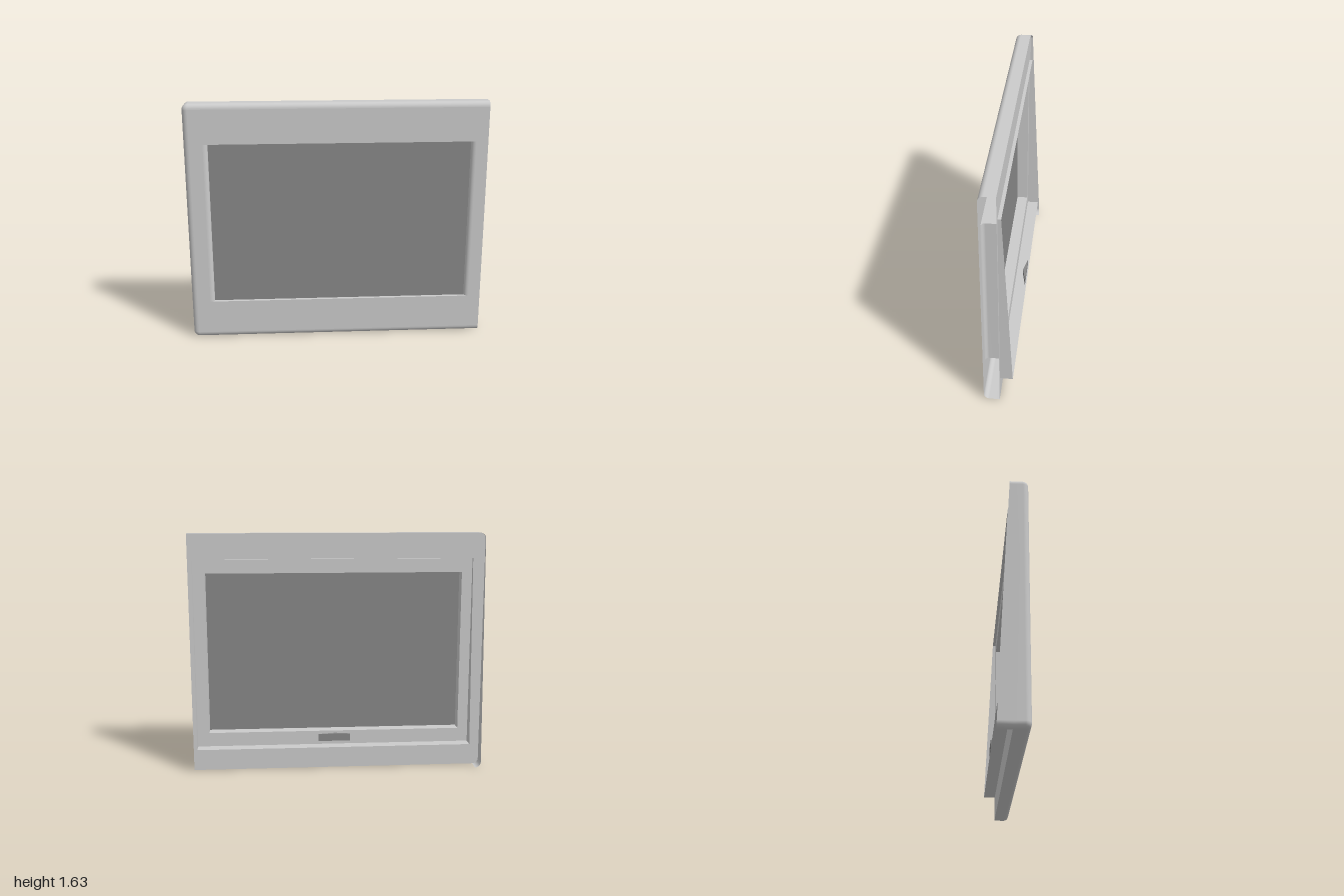
import * as THREE from 'three';

const TOP = 1.63, BACK = -0.007, FRONT = 0.096, R = 0.04, INSET = 0.036, ROUND = 0.035;
const HOLE = { x0: -0.845, x1: 0.89, y0: 0.265, y1: 1.365 };
const LIP = 0.03, LIP_DEPTH = 0.024; // rounded lips beside the opening
const SCREEN = FRONT - LIP_DEPTH;

const grey = new THREE.MeshStandardMaterial({ color: 0xcccccc, side: THREE.DoubleSide });
const dark = new THREE.MeshStandardMaterial({ color: 0x888888, side: THREE.DoubleSide });

// Sloping rear edge shared by the rim and the side flange
const slopeZ = (y) => THREE.MathUtils.lerp(-0.097, -0.02, y / TOP);

// Surface through rows of [x, y, z] points
function loft(rows) {
  const n = rows[0].length, index = [];
  for (let i = 0; i < rows.length - 1; i++) {
    for (let j = 0; j < n - 1; j++) {
      const a = i * n + j, b = a + n;
      index.push(a, a + 1, b, b, a + 1, b + 1);
    }
  }
  const g = new THREE.BufferGeometry();
  g.setAttribute('position', new THREE.Float32BufferAttribute(rows.flat(2), 3));
  g.setIndex(index);
  g.computeVertexNormals();
  return g;
}

// Corner points of the rounded end, from the upper corner to the lower one
function endCurve(inset) {
  const pts = [], r = R - inset;
  for (const [cy, start] of [[TOP - R, Math.PI / 2], [R, Math.PI]]) {
    for (let i = 0; i <= 8; i++) {
      const a = start + (i / 8) * (Math.PI / 2);
      pts.push([-1 + R + r * Math.cos(a), cy + r * Math.sin(a)]);
    }
  }
  return pts;
}

// U-shaped outline: rounded at -x, running straight to the open end at +x
const outline = (inset) => [[1, TOP - inset], ...endCurve(inset), [1, inset]];

// Flat sheet from an outline with a rectangular hole
function sheet(points, x0, x1) {
  const shape = new THREE.Shape(points.map(([x, y]) => new THREE.Vector2(x, y)));
  const { y0, y1 } = HOLE;
  shape.holes.push(new THREE.Path([[x0, y0], [x0, y1], [x1, y1], [x1, y0]]
    .map(([x, y]) => new THREE.Vector2(x, y))));
  return new THREE.ShapeGeometry(shape);
}

export function createModel() {
  const model = new THREE.Group();
  const add = (name, geometry, material = grey, z = 0) => {
    const mesh = new THREE.Mesh(geometry, material);
    mesh.name = name;
    mesh.position.z = z;
    model.add(mesh);
    return mesh;
  };

  // Outer wall, straight at the back and rounded over at the front
  const at = (inset, z) => outline(inset).map(([x, y]) => [x, y, z]);
  const wall = [at(0, BACK)];
  for (let i = 0; i <= 8; i++) {
    const a = (i / 8) * (Math.PI / 2);
    wall.push(at(INSET * (1 - Math.cos(a)), FRONT - ROUND + ROUND * Math.sin(a)));
  }
  add('outerWall', loft(wall));

  // Front bezel and flat back panel
  add('frontBezel', sheet(outline(INSET), HOLE.x0 - LIP, HOLE.x1 + LIP), grey, FRONT);
  add('backPanel', sheet(outline(0), HOLE.x0, HOLE.x1), grey, BACK);

  // Opening sides: rounded lip, then straight to the back
  const lip = (edgeX, dir) => {
    const pts = [];
    for (let i = 0; i <= 8; i++) {
      const a = (i / 8) * (Math.PI / 2);
      pts.push([edgeX + dir * LIP * (1 - Math.sin(a)), SCREEN + LIP_DEPTH * Math.cos(a)]);
    }
    pts.push([edgeX, BACK]);
    return pts;
  };
  const rightLip = lip(HOLE.x0, -1), leftLip = lip(HOLE.x1, 1);
  for (const [name, pts] of [['openingRightSide', rightLip], ['openingLeftSide', leftLip]]) {
    add(name, loft([HOLE.y0, HOLE.y1].map((y) => pts.map(([x, z]) => [x, y, z]))));
  }

  // Opening sill and head
  for (const [name, y] of [['openingSill', HOLE.y0], ['openingHead', HOLE.y1]]) {
    add(name, loft([rightLip, leftLip].map((pts) => pts.map(([x, z]) => [x, y, z]))));
  }

  // Screen pane
  const pane = add('screen', new THREE.PlaneGeometry(HOLE.x1 - HOLE.x0, HOLE.y1 - HOLE.y0), dark, SCREEN);
  pane.position.x = (HOLE.x0 + HOLE.x1) / 2;
  pane.position.y = (HOLE.y0 + HOLE.y1) / 2;

  // Thin rear rim, deeper towards the bottom
  const corners = [[-0.915, 0.17], [0.968, 0.17], [0.968, 1.46], [-0.915, 1.46]];
  corners.forEach(([x, y], i) => {
    const [u, v] = corners[(i + 1) % 4];
    add('rearRim' + ['Bottom', 'Left', 'Top', 'Right'][i], loft([
      [[x, y, BACK], [u, v, BACK]],
      [[x, y, slopeZ(y)], [u, v, slopeZ(v)]],
    ]));
  });

  // Thin tapering flange around the rounded end
  const end = endCurve(0);
  add('sideFlange', loft([
    end.map(([x, y]) => [x, y, BACK]),
    end.map(([x, y]) => [x, y, slopeZ(y)]),
  ]));

  // Small wedge-shaped latch below the opening
  const wedge = new THREE.Shape([[-0.08, 0.085], [0.14, 0.085], [0.025, 0.06]]
    .map(([x, d]) => new THREE.Vector2(x, d)));
  const latch = new THREE.ExtrudeGeometry(wedge, { depth: 0.05, bevelEnabled: false });
  latch.rotateX(-Math.PI / 2); // shape depth now runs along -z, extrusion along +y
  add('latch', latch, dark).position.y = 0.215;

  return model;
}
